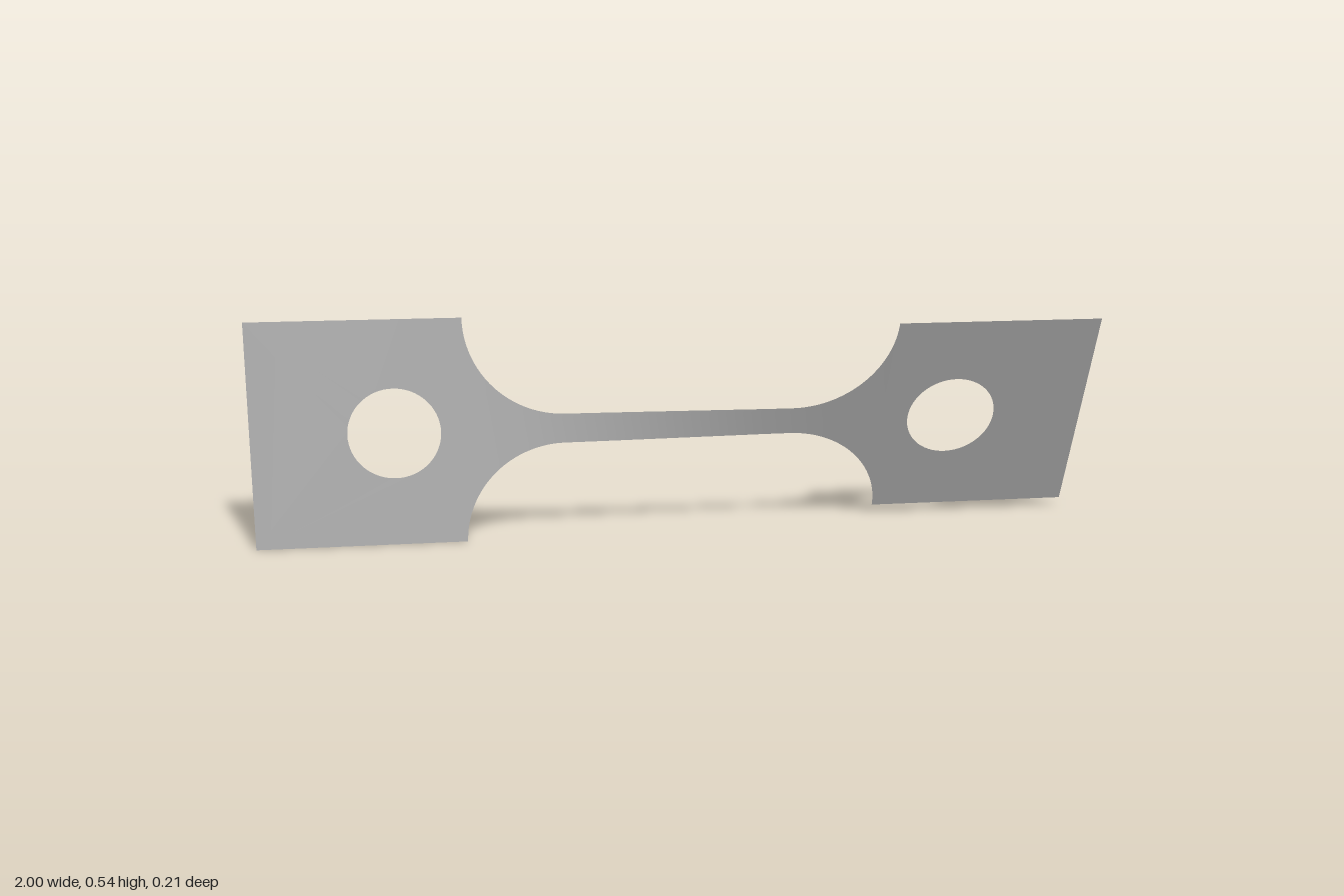
import * as THREE from 'three';

const HALF = 0.271;    // half width of the end plates
const RADIUS = 0.235;  // fillet radius
const EDGE = 0.507;    // inner edge of the end plates

const metal = new THREE.MeshStandardMaterial({ color: 0xb8b8b8, side: THREE.DoubleSide });
metal.name = 'greyMetal';

// Twist of the sheet about its long axis, in degrees along x
const twistKeys = [[-1, 0.6], [-0.5, 0.9], [-0.35, 2.5], [-0.2, 7], [0, 14], [0.2, 20], [0.35, 22.3], [0.5, 22.8], [1, 22.8]];
function twistAt(x) {
  for (let i = 1; i < twistKeys.length; i++) {
    const [x0, a0] = twistKeys[i - 1], [x1, a1] = twistKeys[i];
    if (x <= x1) return THREE.MathUtils.degToRad(a0 + (a1 - a0) * (x - x0) / (x1 - x0));
  }
  return THREE.MathUtils.degToRad(22.8);
}

function twist(geometry) {
  const p = geometry.attributes.position;
  for (let i = 0; i < p.count; i++) {
    const x = p.getX(i), v = p.getY(i), a = twistAt(x);
    p.setXYZ(i, x, HALF + v * Math.cos(a), v * Math.sin(a));
  }
  geometry.computeVertexNormals();
  return geometry;
}

// Half width of the neck with its round fillets
function neckHalf(x) {
  const d = Math.min(RADIUS, Math.max(0, Math.abs(x) - (EDGE - RADIUS)));
  return HALF - Math.sqrt(Math.max(0, RADIUS * RADIUS - d * d));
}

// Square end plate with a round hole
function endPlate(side) {
  const a = Math.min(side * EDGE, side), b = Math.max(side * EDGE, side);
  const shape = new THREE.Shape();
  shape.moveTo(a, -HALF).lineTo(b, -HALF).lineTo(b, HALF).lineTo(a, HALF).closePath();
  const hole = new THREE.Path();
  hole.absarc(side * 0.67, 0, 0.108, 0, Math.PI * 2, true);
  shape.holes.push(hole);
  return twist(new THREE.ShapeGeometry(shape, 32));
}

// Narrow twisted neck, with columns bunched toward the steep fillet ends
function neck() {
  const g = new THREE.PlaneGeometry(2, 2, 96, 8);
  const p = g.attributes.position;
  for (let i = 0; i < p.count; i++) {
    const x = EDGE * Math.sin(p.getX(i) * Math.PI / 2);
    p.setXYZ(i, x, p.getY(i) * neckHalf(x), 0);
  }
  return twist(g);
}

export function createModel() {
  const group = new THREE.Group();
  group.name = 'twistedSheetSpecimen';
  const add = (name, geometry) => {
    const mesh = new THREE.Mesh(geometry, metal);
    mesh.name = name;
    group.add(mesh);
  };
  add('rightEndPlate', endPlate(-1));
  add('leftEndPlate', endPlate(1));
  add('twistedNeck', neck());
  return group;
}
